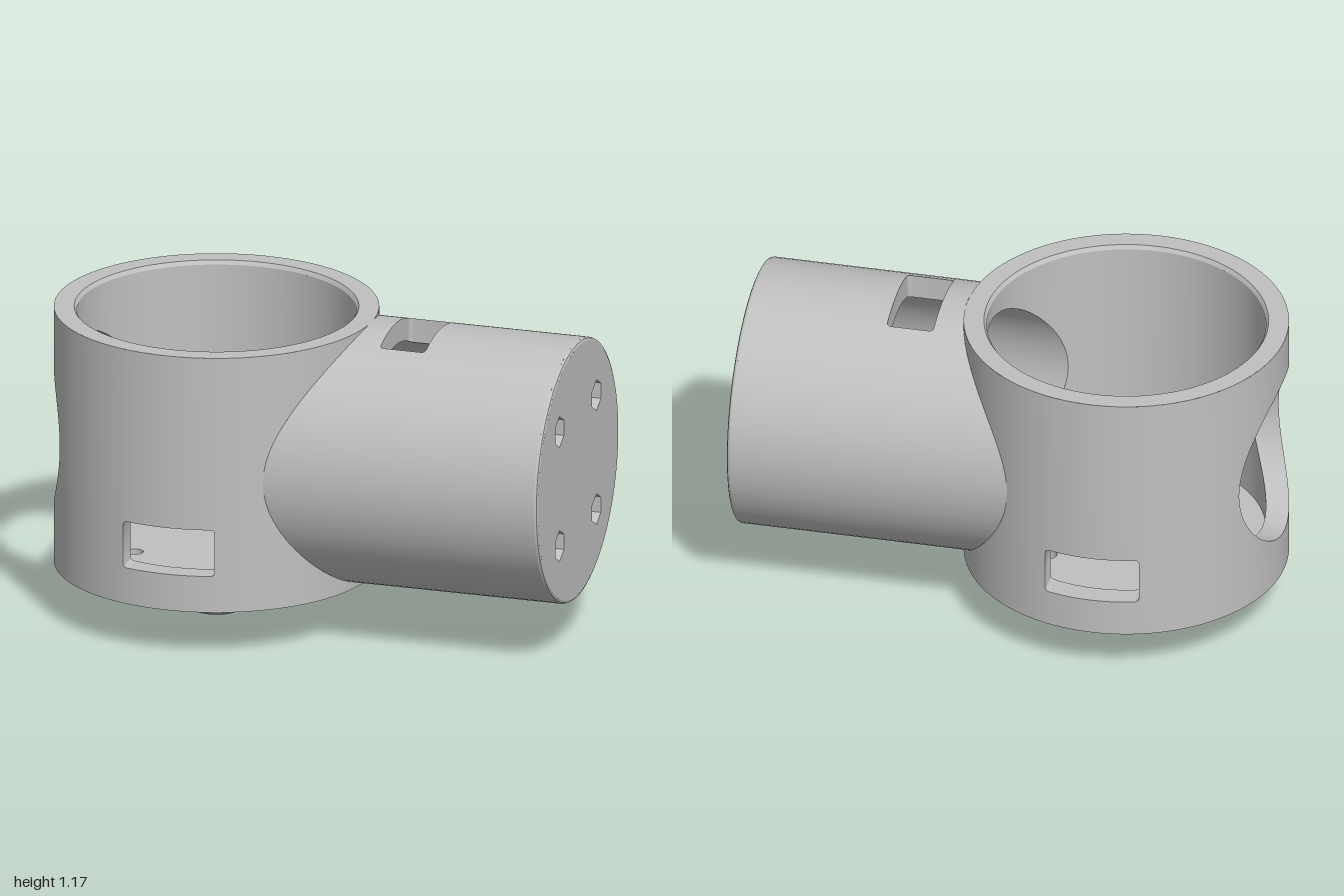
import * as THREE from 'three';
import { toCreasedNormals } from 'three/addons/utils/BufferGeometryUtils.js';

const HUB_X = -0.4, AXIS_Y = 0.675;
const HUB_R = [0.6, 0.515], ARM_R = [0.495, 0.41]; // outer, inner radii
const BASE = 0.18, FLOOR = 0.265, TOP = 1.17, CORNER = 0.015;

// Half height of an opening at t in [-1, 1] across its width; k = 0 outer, 1 inner skin
function halfHeight(op, t, k) {
  if (op.round) return op.h[k] * Math.sqrt(Math.max(0, 1 - t * t));
  const d = Math.max(0, Math.abs(t) * op.w[k] - (op.w[k] - CORNER));
  return op.h[k] - CORNER + Math.sqrt(Math.max(0, CORNER * CORNER - d * d));
}

// Columns of a hollow cylinder wall: angle and axial cuts for both skins
function wallColumns(radii, openings, ends) {
  const cols = [];
  const edge = (op, t) => [0, 1].map((k) => op.at + Math.asin((t * op.w[k]) / radii[k]));
  const add = (angles, mid, halves, lip) => cols.push({
    lip, angles,
    cuts: angles.map((a, k) => {
      const [lo, hi] = ends(k, a);
      return [lo, mid - halves[k], mid + halves[k], hi];
    }),
  });
  openings.forEach((op, n) => {
    const last = n === openings.length - 1;
    const next = openings[(n + 1) % openings.length];
    add(edge(op, -1), op.mid, [0, 0], op.lip);
    for (let j = 0; j <= 32; j++) {
      const t = -Math.cos((Math.PI * j) / 32);
      add(edge(op, t), op.mid, [0, 1].map((k) => halfHeight(op, t, k)), op.lip);
    }
    // solid wall up to the next opening
    const from = edge(op, 1);
    const to = edge(next, -1).map((a) => a + (last ? Math.PI * 2 : 0));
    const steps = Math.ceil((to[0] - from[0]) / 0.08);
    for (let j = 0; j <= steps; j++) {
      const f = j / steps;
      add(from.map((a, k) => a + (to[k] - a) * f), op.mid + (next.mid - op.mid) * f, [0, 0], true);
    }
  });
  return cols;
}

// Skins the columns inside and out, and lines the cut edges of the openings
function wallGeometry(radii, cols, place) {
  const pos = [];
  const tri = (a, b, c) => {
    const area = b.clone().sub(a).cross(c.clone().sub(a)).length();
    if (area > 1e-9) for (const p of [a, b, c]) pos.push(p.x, p.y, p.z);
  };
  const quad = (a, b, c, d) => { tri(a, b, c); tri(a, c, d); };
  const pt = (c, k, j) => place(radii[k], c.angles[k], c.cuts[k][j]);
  for (let i = 0; i < cols.length - 1; i++) {
    const p = cols[i], q = cols[i + 1];
    for (const j of [0, 2]) {
      quad(pt(p, 0, j), pt(p, 0, j + 1), pt(q, 0, j + 1), pt(q, 0, j));
      quad(pt(p, 1, j), pt(q, 1, j), pt(q, 1, j + 1), pt(p, 1, j + 1));
    }
    if (p.lip && q.lip) {
      quad(pt(p, 1, 1), pt(q, 1, 1), pt(q, 0, 1), pt(p, 0, 1));
      quad(pt(p, 1, 2), pt(p, 0, 2), pt(q, 0, 2), pt(q, 1, 2));
    }
  }
  const geo = new THREE.BufferGeometry();
  geo.setAttribute('position', new THREE.Float32BufferAttribute(pos, 3));
  return toCreasedNormals(geo, 0.6);
}

// Round plate with four holes on a square; sides = 6 gives hexagonal holes
function plate(radius, depth, offset, holeR, sides) {
  const shape = new THREE.Shape().absarc(0, 0, radius, 0, Math.PI * 2);
  for (const sx of [-1, 1]) for (const sy of [-1, 1]) {
    const pts = [];
    for (let i = 0; i < sides; i++) {
      const a = Math.PI / 2 - (i / sides) * Math.PI * 2;
      pts.push(new THREE.Vector2(sx * offset + holeR * Math.cos(a), sy * offset + holeR * Math.sin(a)));
    }
    shape.holes.push(new THREE.Path(pts));
  }
  const geo = new THREE.ExtrudeGeometry(shape, { depth, bevelEnabled: false, curveSegments: 80 });
  return toCreasedNormals(geo, 0.6);
}

function lathe(points) {
  const profile = points.map(([x, y]) => new THREE.Vector2(x, y));
  return toCreasedNormals(new THREE.LatheGeometry(profile, 80), 0.6);
}

export function createModel() {
  const model = new THREE.Group();
  const grey = new THREE.MeshStandardMaterial({ color: 0xc0c0c0 });
  grey.name = 'light grey';
  const add = (name, geo) => {
    const mesh = new THREE.Mesh(geo, grey);
    mesh.name = name;
    model.add(mesh);
    return mesh;
  };

  // Upright cup: arm opening, two windows and a round side bore
  const slot = (at) => ({ at, w: [0.177, 0.177], h: [0.09, 0.09], mid: 0.41, lip: true });
  const hubOpenings = [
    { at: 0, w: ARM_R, h: ARM_R, mid: AXIS_Y, round: true, lip: false },
    slot(Math.PI / 2),
    { at: Math.PI, w: [0.33, 0.33], h: [0.33, 0.33], mid: AXIS_Y, round: true, lip: true },
    slot(Math.PI * 1.5),
  ];
  const hubEnds = (k) => (k ? [FLOOR, TOP - 0.015] : [BASE, TOP]);
  add('cupWall', wallGeometry(HUB_R, wallColumns(HUB_R, hubOpenings, hubEnds),
    (r, a, y) => new THREE.Vector3(HUB_X + r * Math.cos(a), y, r * Math.sin(a))));
  add('cupRim', lathe([[0.6, TOP], [0.525, TOP], [0.515, TOP - 0.015]])).position.x = HUB_X;
  const floor = add('cupFloor', plate(0.599, FLOOR - BASE, 0.238, 0.03, 24));
  floor.rotation.x = -Math.PI / 2;
  floor.position.set(HUB_X, BASE, 0);

  // Side arm: tube fitted to the cup, slotted above and below
  const armSlot = (at) => ({ at, w: [0.18, 0.18], h: [0.0875, 0.0875], mid: 0.3775, lip: true });
  const armEnds = (k, a) => [
    HUB_X + Math.sqrt(HUB_R[k] ** 2 - (ARM_R[k] * Math.cos(a)) ** 2),
    k ? 0.915 : 0.988,
  ];
  add('armTube', wallGeometry(ARM_R,
    wallColumns(ARM_R, [armSlot(Math.PI / 2), armSlot(Math.PI * 1.5)], armEnds),
    (r, a, x) => new THREE.Vector3(x, AXIS_Y + r * Math.sin(a), r * Math.cos(a))));

  // Arm end: softened edge, hexagonal nut pockets and bolt holes behind them
  const edge = add('armEndEdge', lathe([[0.495, 0.988], [0.4915, 0.9965], [0.483, 1]]));
  edge.rotation.z = -Math.PI / 2;
  edge.position.y = AXIS_Y;
  const endPlate = (name, x, depth, radius, holeR, sides) => {
    const mesh = add(name, plate(radius, depth, 0.222, holeR, sides));
    mesh.rotation.y = Math.PI / 2;
    mesh.position.set(x, AXIS_Y, 0);
  };
  endPlate('armEndInnerPlate', 0.915, 0.045, 0.47, 0.03, 24);
  endPlate('armEndNutPlate', 0.96, 0.04, 0.483, 0.06, 6);

  // Stepped spigot under the cup
  add('spigot', lathe([
    [0, 0], [0.097, 0], [0.105, 0.008], [0.105, 0.09], [0.212, 0.09],
    [0.22, 0.098], [0.22, BASE + 0.005],
  ])).position.x = HUB_X;

  return model;
}
